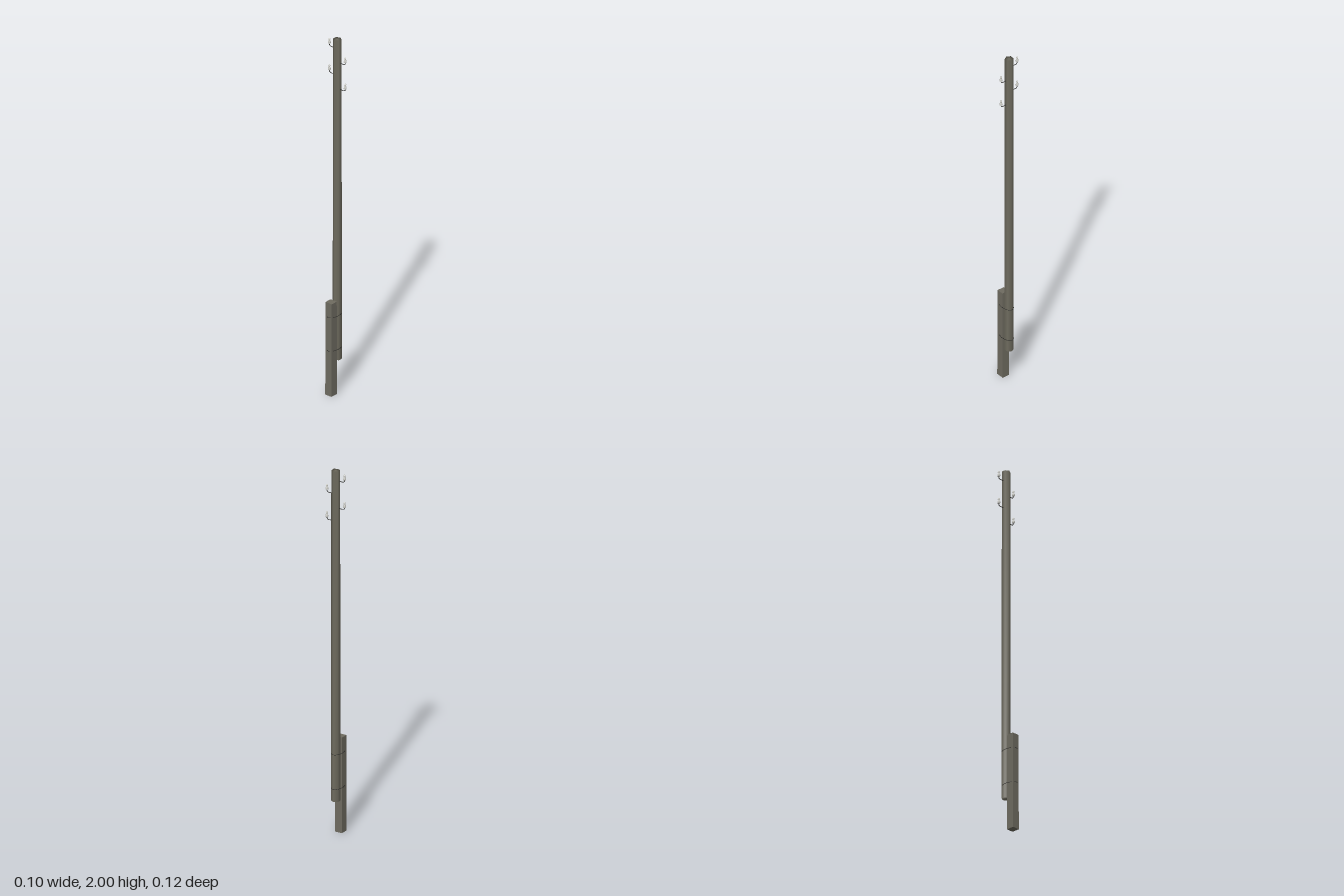
import * as THREE from 'three';
import { mergeVertices } from 'three/addons/utils/BufferGeometryUtils.js';

const mat = (name, color) => {
  const m = new THREE.MeshStandardMaterial({ color });
  m.name = name;
  return m;
};

// share vertices across caps and sides so the shading runs smoothly over the ends
function smoothAll(geometry) {
  geometry.deleteAttribute('uv');
  geometry.deleteAttribute('normal');
  const g = mergeVertices(geometry, 1e-5);
  g.computeVertexNormals();
  return g;
}

export function createModel() {
  const weathered = mat('weathered wood', 0x6f6c5f);
  const concrete = mat('concrete', 0x6e6b60);
  const iron = mat('dark iron', 0x2b2b29);
  const porcelain = mat('porcelain', 0xd2d2cc);

  const model = new THREE.Group();
  model.name = 'utilityPole';
  const add = (parent, name, geometry, material, x = 0, y = 0, z = 0) => {
    const mesh = new THREE.Mesh(geometry, material);
    mesh.name = name;
    mesh.position.set(x, y, z);
    parent.add(mesh);
    return mesh;
  };

  // six-sided pole, corners toward +x and -x
  const poleX = 0.023, bottom = 0.185;
  const poleGeo = new THREE.CylinderGeometry(0.0225, 0.0235, 2 - bottom, 6);
  poleGeo.rotateY(Math.PI / 6);
  add(model, 'pole', smoothAll(poleGeo), weathered, poleX, (2 + bottom) / 2, 0);

  // square footing post, slightly tapered
  const postGeo = new THREE.BoxGeometry(0.044, 0.525, 0.041);
  const p = postGeo.attributes.position;
  for (let i = 0; i < p.count; i++) {
    if (p.getY(i) > 0) p.setX(i, p.getX(i) * 0.88);
  }
  postGeo.computeVertexNormals();
  add(model, 'footingPost', postGeo, concrete, -0.0245, 0.2625, 0);

  // wire bindings round pole and post
  for (const y of [0.255, 0.445]) {
    const points = [];
    for (let i = 0; i < 12; i++) {
      const a = (i / 12) * Math.PI * 2;
      points.push(new THREE.Vector3(0.049 * Math.cos(a), 0, 0.027 * Math.sin(a)));
    }
    const loop = new THREE.CatmullRomCurve3(points, true);
    add(model, 'wireBinding', new THREE.TubeGeometry(loop, 24, 0.0013, 5, true), iron, 0, y, 0);
  }

  // hook and insulator, built reaching toward +z
  const hookPath = new THREE.CatmullRomCurve3([
    [0, 0, 0.015], [0, 0, 0.03], [0, 0, 0.042], [0, 0.003, 0.05], [0, 0.011, 0.0525], [0, 0.024, 0.0525],
  ].map((v) => new THREE.Vector3(...v)));
  const hookGeo = new THREE.TubeGeometry(hookPath, 14, 0.0018, 5);
  const profile = [
    [0, 0.013], [0.006, 0.013], [0.0085, 0.015], [0.007, 0.025], [0.0045, 0.029],
    [0.0045, 0.033], [0.006, 0.036], [0.004, 0.042], [0, 0.043],
  ].map(([r, y]) => new THREE.Vector2(r, y));
  const insulatorGeo = new THREE.LatheGeometry(profile, 6);

  // alternating front and back brackets near the top
  [1.72, 1.795, 1.87, 1.945].forEach((y, i) => {
    const bracket = new THREE.Group();
    bracket.name = i % 2 ? 'backBracket' : 'frontBracket';
    add(bracket, 'hook', hookGeo, iron);
    add(bracket, 'insulator', insulatorGeo, porcelain, 0, 0, 0.0525);
    bracket.position.set(poleX, y, 0);
    bracket.rotation.y = i % 2 ? Math.PI : 0;
    model.add(bracket);
  });

  return model;
}
